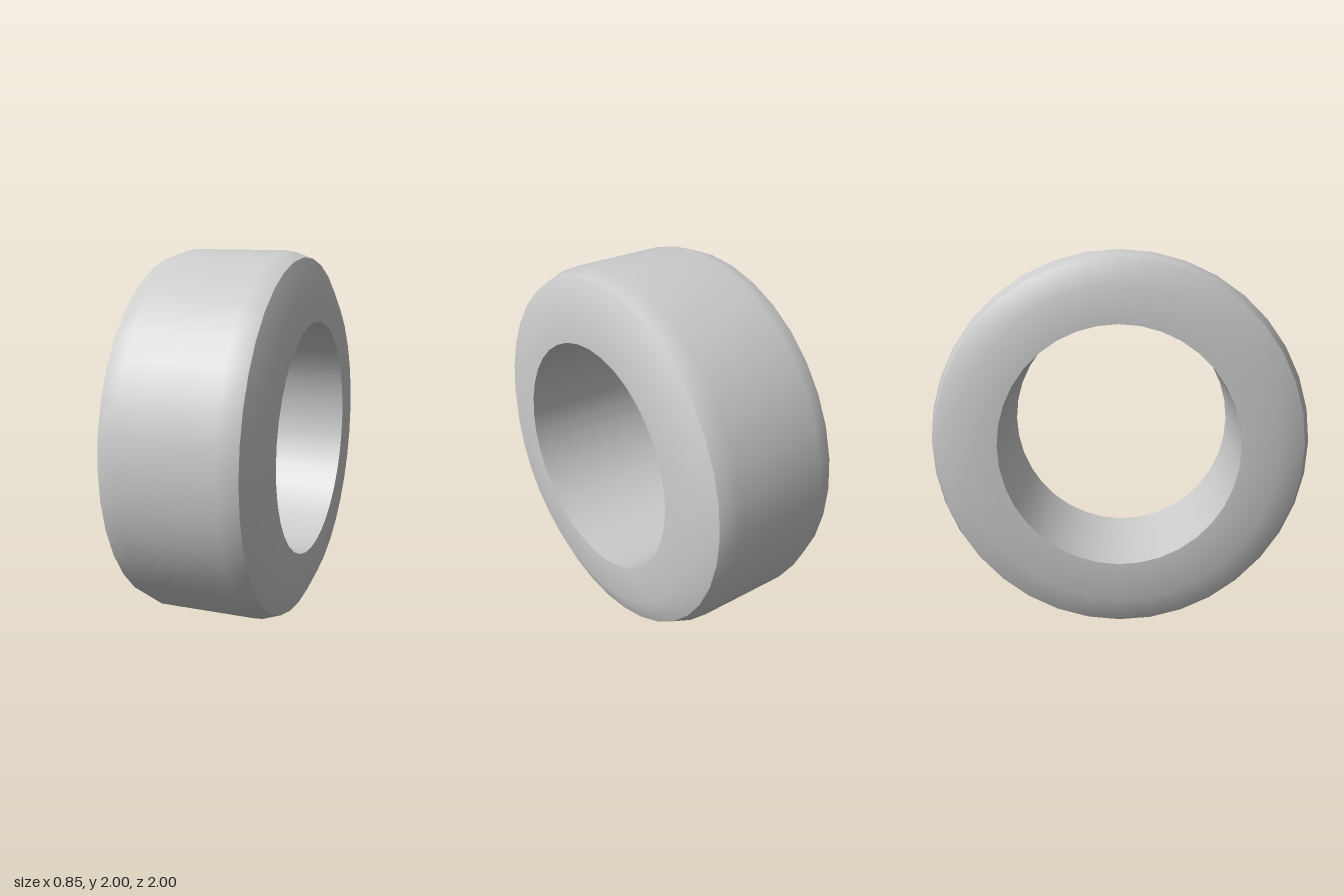
import * as THREE from 'three';

const SEGMENTS = 36;

// Each profile is a list of [radius, x]; separate strips keep the edges between them sharp.
const PROFILES = {
  tread: [[0.965, -0.36], [1, -0.26], [1, 0.26], [0.965, 0.36]],
  leftSidewall: [[0.965, 0.36], [0.83, 0.425], [0.63, 0.425]],
  bore: [[0.63, 0.425], [0.63, -0.425]],
  rightSidewall: [[0.63, -0.425], [0.83, -0.425], [0.965, -0.36]],
};

export function createModel() {
  const rubber = new THREE.MeshStandardMaterial({ color: 0xcccccc });
  rubber.name = 'lightGrey';

  const tyre = new THREE.Group();
  tyre.name = 'tyre';

  // Spin every strip about the axle, then lay the axle along x.
  for (const [name, profile] of Object.entries(PROFILES)) {
    const points = profile.map(([r, x]) => new THREE.Vector2(r, x));
    const geometry = new THREE.LatheGeometry(points, SEGMENTS);
    geometry.rotateZ(-Math.PI / 2);
    geometry.translate(0, 1, 0);
    const mesh = new THREE.Mesh(geometry, rubber);
    mesh.name = name;
    tyre.add(mesh);
  }
  return tyre;
}
